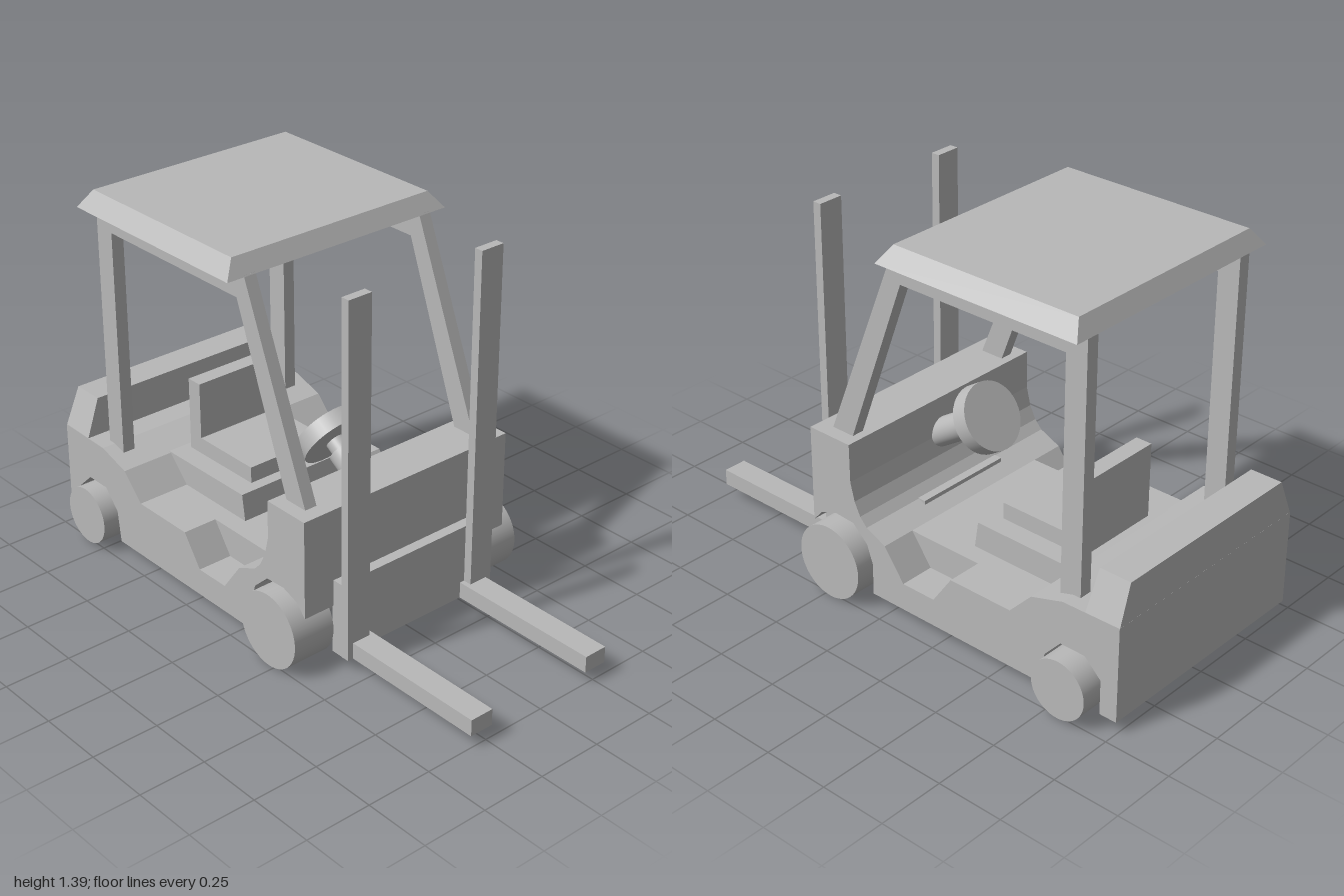
import * as THREE from 'three';

const paint = new THREE.MeshStandardMaterial({ color: 0xb8b8b8 });
paint.name = 'plain grey';

const CX = -0.007; // body centre line

export function createModel() {
  const model = new THREE.Group();
  model.name = 'forklift';

  const add = (name, geometry, x = 0, y = 0, z = 0) => {
    const mesh = new THREE.Mesh(geometry, paint);
    mesh.name = name;
    mesh.position.set(x, y, z);
    model.add(mesh);
    return mesh;
  };

  // Box given by its limits
  const box = (name, x0, x1, y0, y1, z0, z1) =>
    add(name, new THREE.BoxGeometry(x1 - x0, y1 - y0, z1 - z0),
      (x0 + x1) / 2, (y0 + y1) / 2, (z0 + z1) / 2);

  // Side profile of [z, y] points, extruded across x
  const slab = (name, points, x, width) => {
    const shape = new THREE.Shape(points.map(([z, y]) => new THREE.Vector2(z, y)));
    const geometry = new THREE.ExtrudeGeometry(shape, { depth: width, bevelEnabled: false });
    geometry.translate(0, 0, -width / 2).rotateY(-Math.PI / 2);
    return add(name, geometry, x);
  };

  // Box whose bottom and top are rectangles [halfWidth, zBack, zFront]
  const taperedBox = (name, y0, bottom, y1, top) => {
    const geometry = new THREE.BoxGeometry(2, 2, 2);
    const p = geometry.attributes.position;
    for (let i = 0; i < p.count; i++) {
      const upper = p.getY(i) > 0;
      const [w, zb, zf] = upper ? top : bottom;
      p.setXYZ(i, p.getX(i) * w, upper ? y1 : y0, p.getZ(i) > 0 ? zf : zb);
    }
    geometry.computeVertexNormals();
    return add(name, geometry, CX);
  };

  // Chassis: full core, and side slabs with a step cut out
  const underside = [
    [-1, 0.05], [-0.932, 0.05], [-0.932, 0.18], [-0.865, 0.243], [-0.765, 0.243],
    [-0.70, 0.17], [-0.685, 0.05], [0.075, 0.05], [0.075, 0.17], [0.1, 0.24],
    [0.165, 0.3], [0.25, 0.305], [0.32, 0.28], [0.36, 0.235]];
  const dash = [[0.36, 0.605], [0.175, 0.605], [0.173, 0.46], [0.155, 0.39],
    [0.13, 0.34], [0.1, 0.308], [0.015, 0.27]];
  const step = [[-0.07, 0.155], [-0.21, 0.155], [-0.29, 0.27]];
  const rear = [[-0.55, 0.27], [-0.64, 0.365], [-0.77, 0.405], [-1, 0.41]];
  const half = 0.457, stepDepth = 0.135;
  slab('chassisCore', [...underside, ...dash, ...rear], CX, 2 * (half - stepDepth));
  for (const s of [-1, 1]) {
    slab('chassisSide', [...underside, ...dash, ...step, ...rear],
      CX + s * (half - stepDepth / 2), stepDepth);
  }
  taperedBox('counterweight', 0.405, [half, -1, -0.862], 0.55, [0.4, -0.993, -0.87]);

  // Seat
  slab('seatBase', [[-0.21, 0.265], [-0.65, 0.265], [-0.65, 0.368], [-0.225, 0.37]], CX, 0.5);
  box('seatCushion', CX - 0.172, CX + 0.172, 0.36, 0.432, -0.57, -0.27);
  box('seatBack', CX - 0.172, CX + 0.172, 0.36, 0.65, -0.62, -0.557);

  // Steering column and wheel, along a tilted axis
  const steering = new THREE.Group();
  steering.name = 'steering';
  steering.position.set(CX, 0.602, -0.04);
  steering.rotation.x = -Math.atan2(0.84, 0.54);
  for (const [name, radius, length, offset] of [
    ['steeringWheel', 0.125, 0.062, 0],
    ['steeringNeck', 0.036, 0.12, -0.07],
    ['steeringColumn', 0.052, 0.19, -0.17]]) {
    const part = new THREE.Mesh(new THREE.CylinderGeometry(radius, radius, length, 36), paint);
    part.name = name;
    part.position.y = offset;
    steering.add(part);
  }
  model.add(steering);

  // Cab frame and roof
  const frame = [[0.305, 0.6], [0.21, 0.6], [-0.03, 1.25], [-0.717, 1.25], [-0.717, 0.37],
    [-0.8, 0.37], [-0.8, 1.34], [0.01, 1.34]];
  for (const s of [-1, 1]) {
    const side = slab('cabFrame', frame.slice().reverse(), CX + s * 0.38, 0.048);
    side.name = s > 0 ? 'leftCabFrame' : 'rightCabFrame';
  }
  taperedBox('roof', 1.335, [0.473, -0.815, 0.013], 1.397, [0.425, -0.78, -0.025]);

  // Lifting gear
  box('carriagePlate', CX - 0.332, CX + 0.332, 0.05, 0.335, 0.355, 0.4);
  for (const s of [-1, 1]) {
    const mast = CX + s * 0.285, fork = CX + s * 0.264;
    box('mast', mast - 0.048, mast + 0.048, 0.05, 1.38, 0.4, 0.433);
    box('fork', fork - 0.046, fork + 0.046, 0.05, 0.112, 0.4, 1);
  }

  // Axles, their housings and wheels
  for (const [name, y, z, radius, outer] of [
    ['front', 0.145, 0.225, 0.141, 0.513],
    ['rear', 0.125, -0.815, 0.11, 0.522]]) {
    const cylinder = (part, r, x0, x1) => add(name + part,
      new THREE.CylinderGeometry(r, r, x1 - x0, 48).rotateZ(Math.PI / 2), (x0 + x1) / 2, y, z);
    cylinder('Axle', 0.03, -0.4, 0.4);
    cylinder('RightWheel', radius, -outer, -0.345);
    cylinder('LeftWheel', radius, 0.345, outer);
  }
  box('frontAxleHousing', CX - 0.2, CX + 0.2, 0.1, 0.31, 0.07, 0.36);
  box('rearAxleHousing', CX - 0.15, CX + 0.15, 0.09, 0.25, -0.88, -0.75);

  return model;
}
